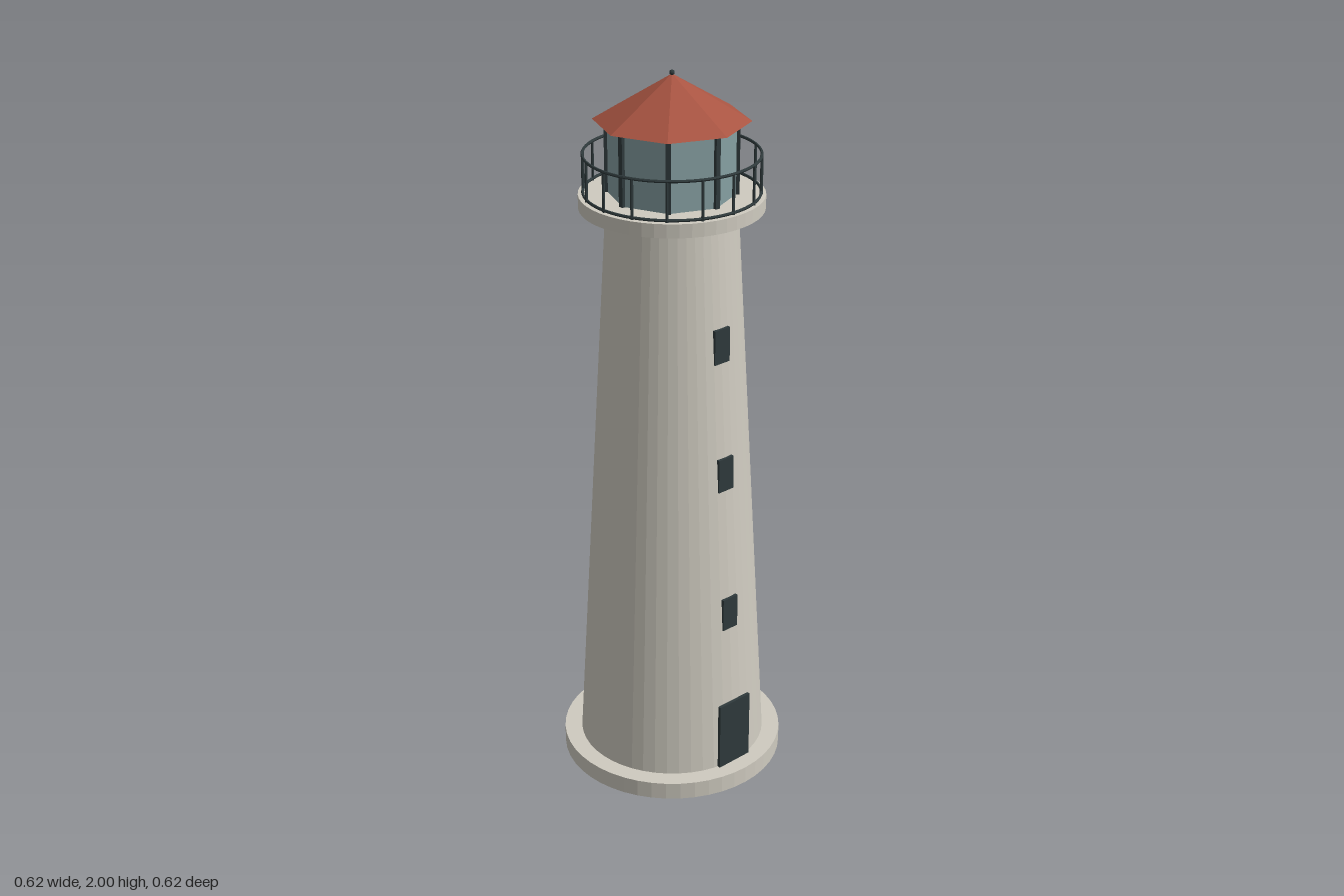
import * as THREE from 'three';

const mat = (name, color, flatShading = true) => {
  const m = new THREE.MeshStandardMaterial({ color, flatShading });
  m.name = name;
  return m;
};

export function createModel() {
  const stone = mat('stone', 0xcfcbc0);
  const roofRed = mat('roofRed', 0xa85442);
  const glass = mat('glass', 0x86a0a2);
  const dark = mat('darkMetal', 0x2f3a3c);

  const root = new THREE.Group();
  root.name = 'lighthouse';
  const add = (name, geometry, material, x, y, z, parent = root) => {
    const mesh = new THREE.Mesh(geometry, material);
    mesh.name = name;
    mesh.position.set(x, y, z);
    parent.add(mesh);
    return mesh;
  };
  // Upright round or faceted part between two heights
  const drum = (name, rTop, rBottom, y0, y1, sides, material) =>
    add(name, new THREE.CylinderGeometry(rTop, rBottom, y1 - y0, sides), material, 0, (y0 + y1) / 2, 0);
  // Identical uprights spaced evenly around the axis
  const around = (name, count, radius, y, geometry, material) => {
    const group = new THREE.Group();
    group.name = name;
    root.add(group);
    for (let i = 0; i < count; i++) {
      const a = (i / count) * Math.PI * 2;
      const m = add(name + i, geometry, material, Math.sin(a) * radius, y, Math.cos(a) * radius, group);
      m.rotation.y = a;
    }
  };

  // Masonry: plinth, tapering tower and gallery floor
  const foot = 0.05, floor = 1.64, deck = 1.677, eave = 1.87;
  const rFoot = 0.263, rHead = 0.173;
  drum('plinth', 0.312, 0.312, 0, foot, 48, stone);
  drum('tower', rHead, rFoot, foot, floor, 48, stone);
  drum('galleryFloor', 0.243, 0.243, floor, deck, 48, stone);

  // Door and windows, upright plates set into the sloping wall
  add('door', new THREE.BoxGeometry(0.112, 0.2, 0.009), dark, 0, 0.15, 0.2605);
  for (const y of [0.525, 0.943, 1.308]) {
    const sill = y - 0.048;
    const r = rFoot + (rHead - rFoot) * (sill - foot) / (floor - foot);
    add('window', new THREE.BoxGeometry(0.052, 0.096, 0.009), dark, 0, y, r + 0.002 - 0.0045);
  }

  // Gallery railing
  const railRadius = 0.23, railTop = 1.783;
  for (const [name, y] of [['topRail', railTop], ['bottomRail', deck + 0.005]]) {
    const ring = add(name, new THREE.TorusGeometry(railRadius, 0.004, 6, 64), dark, 0, y, 0);
    ring.rotation.x = Math.PI / 2;
  }
  around('railPost', 16, railRadius, (deck + railTop) / 2,
    new THREE.CylinderGeometry(0.004, 0.004, railTop - deck, 6), dark);

  // Eight-sided glazed lantern with corner bars
  drum('lanternGlass', 0.168, 0.168, deck, eave, 8, glass);
  around('lanternBar', 8, 0.167, (deck + eave) / 2,
    new THREE.BoxGeometry(0.014, eave - deck, 0.014), dark);

  // Roof and finial
  const roofHeight = 0.12;
  add('roof', new THREE.ConeGeometry(0.204, roofHeight, 8), roofRed, 0, eave + roofHeight / 2, 0);
  add('finial', new THREE.SphereGeometry(0.007, 12, 8), dark, 0, 1.993, 0);

  return root;
}
